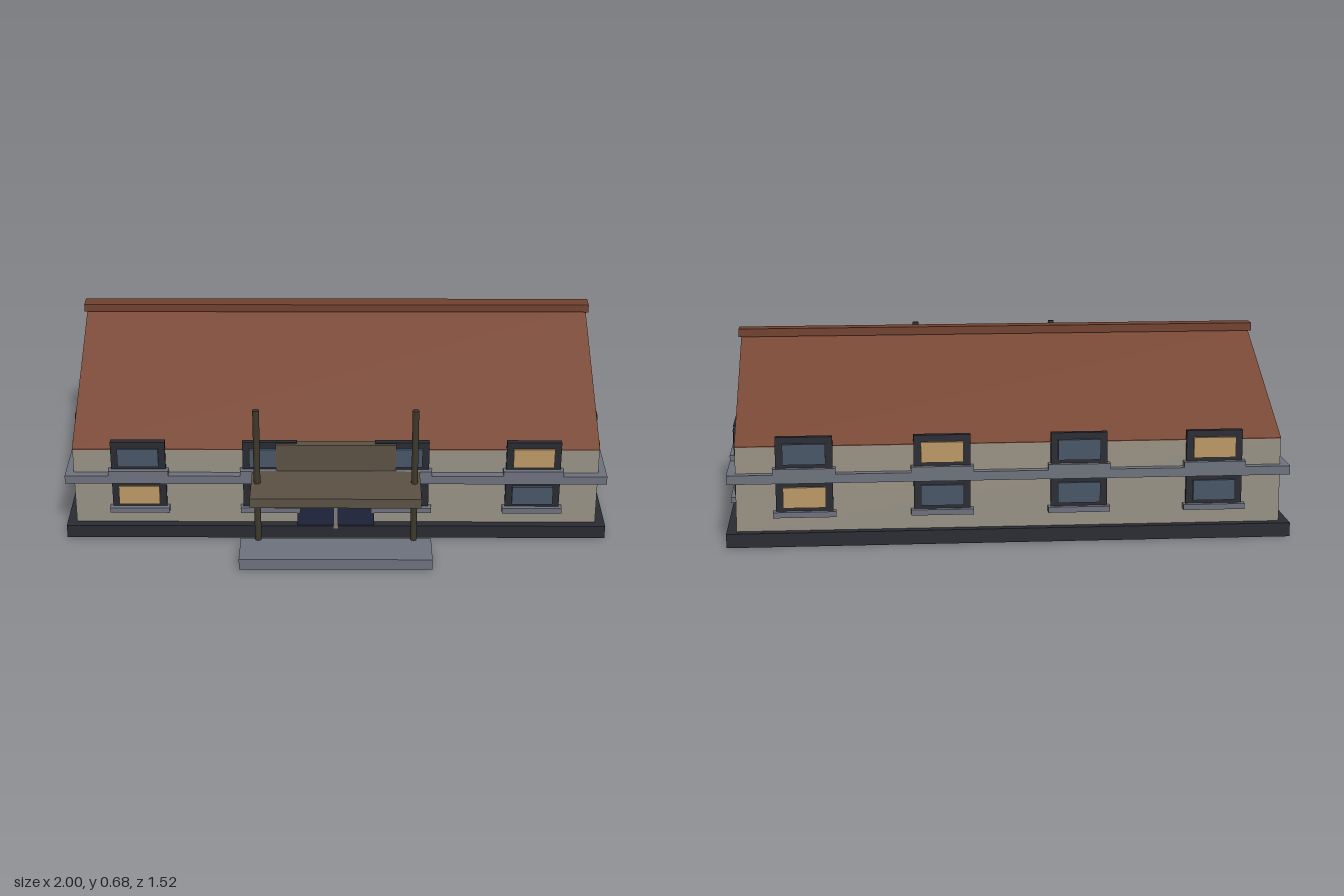
import * as THREE from 'three';

const paint = (color) => new THREE.MeshStandardMaterial({ color });
const MAT = {
  wall: paint(0x979183), roof: paint(0x784734), ridge: paint(0x70402f), dark: paint(0x292b32),
  stone: paint(0x6d717c), glass: paint(0x485566), lit: paint(0xba9866), door: paint(0x20263f),
  canopy: paint(0x5a5042), post: paint(0x3f392c), mullion: paint(0x7d7a78),
};

// House extents: walls, eaves and ridge
const HX = 0.965, Z0 = -0.725, Z1 = 0.505, ZC = -0.11, EAVE = 0.352, RIDGE = 0.648;

export function createModel() {
  const model = new THREE.Group();
  model.name = 'house';

  const add = (parent, name, geometry, material) => {
    const mesh = new THREE.Mesh(geometry, material);
    mesh.name = name;
    parent.add(mesh);
    return mesh;
  };
  // Box given by its limits on each axis
  const box = (parent, name, material, x0, x1, y0, y1, z0, z1) => {
    const mesh = add(parent, name, new THREE.BoxGeometry(x1 - x0, y1 - y0, z1 - z0), material);
    mesh.position.set((x0 + x1) / 2, (y0 + y1) / 2, (z0 + z1) / 2);
    return mesh;
  };
  // Outline in (z, y) extruded along x
  const prism = (name, material, points, half) => {
    const shape = new THREE.Shape(points.map(([z, y]) => new THREE.Vector2(-z, y)));
    const geometry = new THREE.ExtrudeGeometry(shape, { depth: half * 2, bevelEnabled: false });
    geometry.translate(0, 0, -half);
    geometry.rotateY(Math.PI / 2);
    return add(model, name, geometry, material);
  };

  // Plinth, gabled walls, and the stone band between floors
  box(model, 'plinth', MAT.dark, -1, 1, 0, 0.05, -0.757, 0.537);
  prism('walls', MAT.wall, [[Z1, 0.05], [Z0, 0.05], [Z0, EAVE], [ZC, RIDGE], [Z1, EAVE]], HX);
  box(model, 'floorBand', MAT.stone, -0.995, 0.995, 0.227, 0.259, -0.755, 0.535);

  // Roof slopes and ridge cap
  const skin = 0.003;
  [['frontRoof', Z1], ['backRoof', Z0]].forEach(([name, z]) => {
    prism(name, MAT.roof, [[z, EAVE], [ZC, RIDGE], [ZC, RIDGE + skin], [z, EAVE + skin]], HX + 0.001);
  });
  box(model, 'ridgeCap', MAT.ridge, -0.975, 0.975, 0.645, 0.675, ZC - 0.03, ZC + 0.03);

  // Window facing +z, with its wall plane at z = 0 and its sill top at y = 0
  const makeWindow = (lit, frameOut, glassOut) => {
    const g = new THREE.Group();
    g.name = 'window';
    box(g, 'windowFrame', MAT.dark, -0.1, 0.1, -0.02, 0.11, -0.01, frameOut);
    box(g, 'windowPane', lit ? MAT.lit : MAT.glass, -0.075, 0.075, 0.013, 0.086, 0, glassOut);
    box(g, 'windowSill', MAT.stone, -0.11, 0.11, -0.02, 0, -0.01, 0.03);
    return g;
  };
  const FLOORS = [0.124, 0.279];
  const COLUMNS = [-0.725, -0.242, 0.242, 0.725];
  const GABLE = [ZC - 0.308, ZC + 0.308];
  // Lit windows are listed as "floor,column"
  const walls = [
    { at: COLUMNS, lit: ['1,3', '0,0'], turn: 0, put: (c, y) => [c, y, Z1], depth: [0.012, 0.022] },
    { at: COLUMNS, lit: ['1,0', '1,2', '0,3'], turn: Math.PI, put: (c, y) => [c, y, Z0], depth: [0.012, 0.022] },
    { at: GABLE, lit: ['0,0'], turn: Math.PI / 2, put: (c, y) => [HX, y, c], depth: [0.015, 0.019] },
    { at: GABLE, lit: ['1,0'], turn: -Math.PI / 2, put: (c, y) => [-HX, y, c], depth: [0.015, 0.019] },
  ];
  for (const wall of walls) {
    FLOORS.forEach((y, floor) => wall.at.forEach((c, column) => {
      const win = makeWindow(wall.lit.includes(`${floor},${column}`), ...wall.depth);
      win.position.set(...wall.put(c, y));
      win.rotation.y = wall.turn;
      model.add(win);
    }));
  }

  // Entrance: double door, signboard, canopy, posts and step
  const entrance = new THREE.Group();
  entrance.name = 'entrance';
  model.add(entrance);
  box(entrance, 'doors', MAT.door, -0.142, 0.142, 0.04, 0.228, 0.49, 0.531);
  box(entrance, 'doorMullion', MAT.mullion, -0.008, 0.008, 0.04, 0.228, 0.5, 0.538);
  box(entrance, 'signboard', MAT.canopy, -0.22, 0.22, 0.279, 0.385, 0.495, 0.529);
  box(entrance, 'canopy', MAT.canopy, -0.307, 0.307, 0.242, 0.279, 0.53, 0.738);
  box(entrance, 'step', MAT.stone, -0.35, 0.35, 0, 0.042, 0.612, 0.762);
  for (const side of [-1, 1]) {
    const post = add(entrance, 'canopyPost', new THREE.CylinderGeometry(0.012, 0.012, 0.531, 8), MAT.post);
    post.position.set(side * 0.285, 0.3075, 0.618);
  }

  return model;
}
